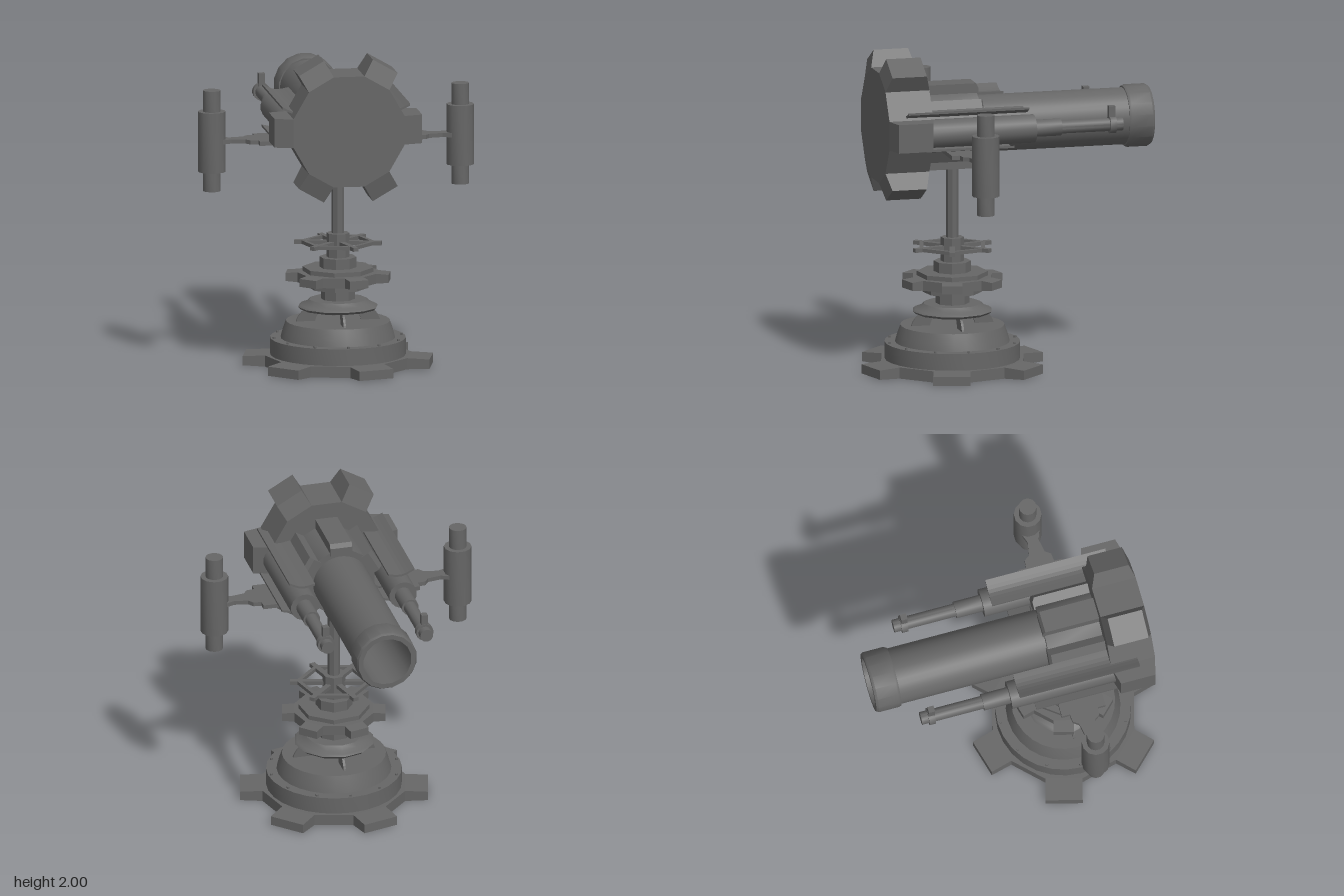
import * as THREE from 'three';
import { mergeGeometries, toCreasedNormals } from 'three/addons/utils/BufferGeometryUtils.js';

const gunmetal = new THREE.MeshStandardMaterial({ color: 0x666666 });
gunmetal.name = 'gunmetal';
const V = (p) => new THREE.Vector2(p[0], p[1]);

function add(parent, name, geometry, x = 0, y = 0, z = 0) {
  const mesh = new THREE.Mesh(geometry, gunmetal);
  mesh.name = name;
  mesh.position.set(x, y, z);
  parent.add(mesh);
  return mesh;
}

// Turned part from [radius, height] points, listed upwards
function turned(points, sides, twist = 0) {
  const g = new THREE.LatheGeometry(points.map(V), sides);
  g.rotateY(twist);
  return toCreasedNormals(g, 0.6);
}

// Turned part lying along the barrel: height runs towards -z
const turnedBack = (points, sides) => turned(points, sides, Math.PI / sides).rotateX(-Math.PI / 2);

const disc = (r, y0, y1) => [[0, y0], [r, y0], [r, y1], [0, y1]];

function extrude(points, depth) {
  return new THREE.ExtrudeGeometry(new THREE.Shape(points.map(V)), { depth, bevelEnabled: false });
}

// Six-toothed wheel in the xy plane, centred in z; teeth get thinner to the tip
function gear(tip, root, half, depth, thin, twist = 0) {
  const core = [];
  const parts = [];
  for (let i = 0; i < 6; i++) {
    const a = twist + i * Math.PI / 3;
    const c = Math.cos(a), s = Math.sin(a);
    for (const h of [-half, half]) core.push([root * c - h * s, root * s + h * c]);
    const tooth = new THREE.BoxGeometry(tip - root, half * 2, depth);
    const p = tooth.attributes.position;
    for (let k = 0; k < p.count; k++) {
      if (p.getX(k) > 0) p.setZ(k, Math.sign(p.getZ(k)) * (depth / 2 - thin));
    }
    tooth.translate((tip + root) / 2, 0, 0).rotateZ(a);
    parts.push(tooth.toNonIndexed());
  }
  parts.push(extrude(core, depth).translate(0, 0, -depth / 2));
  const g = mergeGeometries(parts);
  g.computeVertexNormals();
  return g;
}

function buildStand() {
  const stand = new THREE.Group();
  stand.name = 'stand';
  stand.position.set(0.01, 0, 0.33);
  const twist = -Math.PI / 12;
  const flat = -Math.PI / 2;

  add(stand, 'baseGear', gear(0.58, 0.44, 0.115, 0.07, 0.006, twist).rotateX(flat), 0, 0.035, 0);
  add(stand, 'baseDome', turned([[0, 0.06], [0.42, 0.06], [0.42, 0.175], [0.355, 0.175],
    [0.343, 0.22], [0.322, 0.28], [0, 0.28]], 28));

  // Bolts around the rim of the drum
  for (let i = 0; i < 12; i++) {
    const a = i * Math.PI / 6;
    add(stand, 'bolt', new THREE.CylinderGeometry(0.009, 0.009, 0.02, 6),
      0.4 * Math.sin(a), 0.177, 0.4 * Math.cos(a));
  }

  // Thin curved fins holding the collar above the dome
  const fin = new THREE.Shape();
  fin.moveTo(0.265, 0.27);
  fin.quadraticCurveTo(0.25, 0.335, 0.19, 0.365);
  fin.lineTo(0.07, 0.365);
  fin.quadraticCurveTo(0.14, 0.335, 0.145, 0.27);
  const finGeometry = new THREE.ExtrudeGeometry(fin, { depth: 0.015, bevelEnabled: false, curveSegments: 6 });
  finGeometry.translate(0, 0, -0.0075);
  for (let i = 0; i < 4; i++) add(stand, 'domeFin', finGeometry).rotation.y = i * Math.PI / 2;

  add(stand, 'collar', turned([[0, 0.355], [0.235, 0.355], [0.25, 0.37], [0.235, 0.382],
    [0.205, 0.39], [0.18, 0.415], [0, 0.415]], 12));
  add(stand, 'lowerPost', turned(disc(0.105, 0.41, 0.49), 8, twist));
  add(stand, 'lowerFlange', turned(disc(0.185, 0.485, 0.53), 8, twist));
  add(stand, 'middleGear', gear(0.32, 0.245, 0.063, 0.062, 0.006, twist).rotateX(flat), 0, 0.556, 0);
  add(stand, 'upperFlange', turned(disc(0.22, 0.58, 0.615), 8, twist));
  add(stand, 'upperPost', turned(disc(0.115, 0.61, 0.68), 8, twist));
  add(stand, 'hub', turned(disc(0.072, 0.67, 0.83), 8, twist));
  add(stand, 'shaft', turned(disc(0.039, 0.82, 1.32), 8, twist));

  // Open spoked wheel
  for (let i = 0; i < 6; i++) {
    const arm = new THREE.Group();
    arm.name = 'wheelSpoke';
    arm.rotation.y = -Math.PI / 12 + i * Math.PI / 3;
    arm.position.y = 0.769;
    add(arm, 'spoke', new THREE.BoxGeometry(0.225, 0.024, 0.035), 0.158, 0, 0);
    const rim = add(arm, 'rimBar', new THREE.BoxGeometry(0.024, 0.022, 0.22), 0.165, 0, -0.095);
    rim.rotation.y = Math.PI / 6;
    stand.add(arm);
  }
  return stand;
}

function buildMainGun() {
  const gun = new THREE.Group();
  gun.name = 'mainGun';
  gun.position.set(0.003, 1.535, 0);
  add(gun, 'rearGear', gear(0.462, 0.348, 0.09, 0.28, 0.03), -0.003, 0.02, 0.68);
  add(gun, 'barrel', turnedBack([[0, -0.56], [0.177, -0.56], [0.177, 0.77], [0, 0.77]].slice(0, 3), 32));
  add(gun, 'muzzle', turnedBack([[0.17, 0.76], [0.187, 0.76], [0.194, 0.775], [0.194, 0.905],
    [0.185, 0.92], [0.155, 0.92], [0.155, 0.3], [0, 0.3]], 16));
  add(gun, 'housing', turnedBack(disc(0.222, -0.56, -0.19), 12));

  // Ribs around the housing
  for (let i = 0; i < 6; i++) {
    const rib = extrude([[-0.56, 0.19], [-0.18, 0.19], [-0.18, 0.24], [-0.195, 0.268], [-0.56, 0.268]], 0.14);
    rib.translate(0, 0, -0.07).rotateY(Math.PI / 2).rotateZ(i * Math.PI / 3);
    add(gun, 'housingRib', rib);
  }
  return gun;
}

// Curved sheet: profile in x and y, swept along z
function sheet(points, z0, z1) {
  const curve = new THREE.SplineCurve(points.map(V)).getPoints(8);
  const t = 0.014;
  const outline = [...curve.map((p) => [p.x, p.y]), ...curve.reverse().map((p) => [p.x, p.y + t])];
  return extrude(outline, z1 - z0).translate(0, 0, z0);
}

function buildSide(side) {
  const group = new THREE.Group();
  group.name = side > 0 ? 'leftSide' : 'rightSide';
  const x = side * 0.315;
  const mirrored = (points) => (side > 0 ? points : points.map(([px, py]) => [-px, py]).reverse());

  // Stepped side gun with a sight post
  add(group, 'sideGun', turnedBack([[0, -0.6], [0.088, -0.6], [0.088, 0.11], [0.053, 0.11],
    [0.053, 0.28], [0.041, 0.28], [0.041, 0.59], [0.055, 0.59], [0.055, 0.63],
    [0.041, 0.63], [0.041, 0.675], [0, 0.675]], 16), x, 1.55, 0);
  add(group, 'sightPost', new THREE.BoxGeometry(0.04, 0.09, 0.04), x, 1.622, -0.607);

  // Curled sheets above and below the gun
  add(group, 'upperSheet', sheet(mirrored([[0.235, 1.665], [0.32, 1.655], [0.40, 1.688]]), -0.06, 0.71));
  add(group, 'lowerSheet', sheet(mirrored([[0.2, 1.46], [0.31, 1.435], [0.42, 1.455]]), 0.04, 0.61));

  // Flat arm carrying the upright cylinder
  const half = [[0.25, 0.14], [0.5, 0.14], [0.5, 0.09], [0.55, 0.085], [0.575, 0.05], [0.66, 0.035], [0.74, 0.065]];
  const outline = mirrored([...half.map(([a, b]) => [a, -b]), ...half.slice().reverse()]);
  add(group, 'arm', extrude(outline, 0.026).rotateX(-Math.PI / 2), 0, 1.415, 0.32);
  add(group, 'uprightCylinder', turned([[0, 1.115], [0.055, 1.115], [0.055, 1.237], [0.086, 1.237],
    [0.086, 1.615], [0.055, 1.615], [0.055, 1.747], [0, 1.747]], 12, Math.PI / 12), side * 0.778, 0, 0.318);
  return group;
}

export function createModel() {
  const model = new THREE.Group();
  model.name = 'turret';
  model.add(buildStand(), buildMainGun(), buildSide(1), buildSide(-1));
  return model;
}
